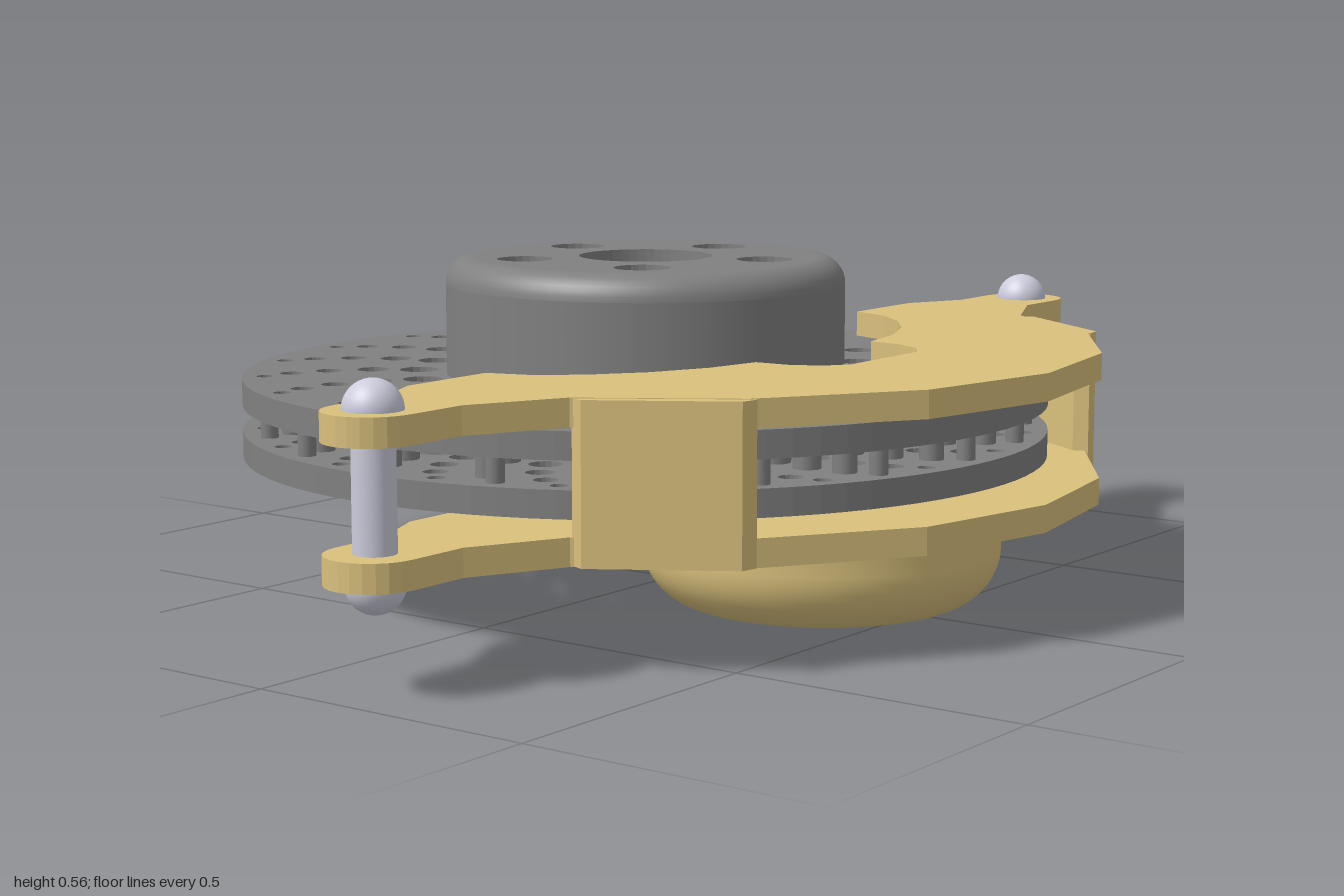
import * as THREE from 'three';

const steel = new THREE.MeshStandardMaterial({ color: 0x808080 });
const gold = new THREE.MeshStandardMaterial({ color: 0xd9c07c });
const pinMetal = new THREE.MeshStandardMaterial({ color: 0xccccdc });
const DISC_Z = -0.055;
const V = (x, y) => new THREE.Vector2(x, y);

function add(parent, name, geometry, material, x = 0, y = 0, z = 0) {
  const mesh = new THREE.Mesh(geometry, material);
  mesh.name = name;
  mesh.position.set(x, y, z);
  parent.add(mesh);
  return mesh;
}

// Points of a circle in plan (x, z)
function circle(cx, cz, r, n) {
  return Array.from({ length: n }, (_, i) => {
    const a = (i / n) * Math.PI * 2;
    return V(cx + r * Math.cos(a), cz + r * Math.sin(a));
  });
}

// Flat slab from a plan outline (x, z), spanning y0 to y1
function slab(points, y0, y1, holes = []) {
  const shape = new THREE.Shape(points);
  shape.holes = holes.map((h) => new THREE.Path(h));
  const g = new THREE.ExtrudeGeometry(shape, { depth: y1 - y0, bevelEnabled: false });
  return g.rotateX(Math.PI / 2).translate(0, y1, 0);
}

// Five spots along each of twenty curved arms: radius, sweep in degrees, size
const ARM = [[0.395, 0, 0.034], [0.475, 0, 0.028], [0.55, 2, 0.023], [0.612, 5, 0.02], [0.656, 8, 0.015]];
function armSpots(offset) {
  const spots = [];
  for (let i = 0; i < 20; i++) {
    for (const [r, sweep, size] of ARM) {
      const a = THREE.MathUtils.degToRad(i * 18 + offset - sweep);
      spots.push({ x: r * Math.sin(a), z: -r * Math.cos(a), size });
    }
  }
  return spots;
}

function buildRotor() {
  const rotor = new THREE.Group();
  rotor.name = 'rotor';
  rotor.position.z = DISC_Z;

  // Two drilled friction plates
  const drilled = armSpots(0).map((s) => circle(s.x, s.z, s.size, 18));
  drilled.push(circle(0, 0, 0.315, 72));
  const rim = circle(0, 0, 0.695, 96);
  add(rotor, 'lowerFrictionPlate', slab(rim, 0.225, 0.27, drilled), steel);
  add(rotor, 'upperFrictionPlate', slab(rim, 0.315, 0.36, drilled), steel);

  // Pillars in the ventilation gap
  const pillars = new THREE.Group();
  pillars.name = 'ventPillars';
  rotor.add(pillars);
  for (const s of armSpots(9)) {
    add(pillars, 'ventPillar', new THREE.CylinderGeometry(s.size, s.size, 0.045, 14, 1, true), steel, s.x, 0.2925, s.z);
  }

  // Hollow hat: rounded wall plus a top with centre bore and five bolt holes
  const wall = [V(0.345, 0.34), V(0.345, 0.515)];
  for (let i = 0; i <= 8; i++) {
    const a = (i / 8) * Math.PI / 2;
    wall.push(V(0.3 + 0.045 * Math.cos(a), 0.515 + 0.045 * Math.sin(a)));
  }
  add(rotor, 'hatWall', new THREE.LatheGeometry(wall, 72), steel);
  const inner = [V(0.3, 0.52), V(0.315, 0.505), V(0.315, 0.34)];
  add(rotor, 'hatInnerWall', new THREE.LatheGeometry(inner, 72), steel);
  const bores = [circle(0, 0, 0.115, 48)];
  for (let i = 0; i < 5; i++) {
    const a = (i / 5) * Math.PI * 2;
    bores.push(circle(0.215 * Math.cos(a), 0.215 * Math.sin(a), 0.048, 24));
  }
  add(rotor, 'hatTop', slab(circle(0, 0, 0.3, 72), 0.52, 0.56, bores), steel);
  return rotor;
}

// Half outline of a caliper plate, from the notch round the ear to the front tip
function caliperOutline() {
  const half = [V(0.1, 0.437), V(0.14, 0.41), V(0.165, 0.36), V(0.17, 0.3)];
  for (const p of [[0.27, 0.28], [0.37, 0.235], [0.45, 0.175], [0.505, 0.11], [0.53, 0.035], [0.71, 0.035], [0.82, 0.085]]) {
    half.push(V(...p));
  }
  for (let i = 0; i <= 12; i++) {
    const a = -Math.PI / 2 + (i / 12) * Math.PI;
    half.push(V(0.925 + 0.075 * Math.cos(a), 0.16 + 0.075 * Math.sin(a)));
  }
  for (const p of [[0.815, 0.235], [0.66, 0.31], [0.62, 0.37], [0.51, 0.53], [0.27, 0.69]]) half.push(V(...p));
  const mirrored = half.map((p) => V(-p.x, p.y)).reverse();
  return [...half, V(0, 0.742), ...mirrored];
}

function buildCaliper() {
  const caliper = new THREE.Group();
  caliper.name = 'caliper';
  const outline = caliperOutline();
  add(caliper, 'lowerCaliperPlate', slab(outline, 0.165, 0.21), gold);
  add(caliper, 'upperCaliperPlate', slab(outline, 0.375, 0.42), gold);

  // Piston housing with a rounded base
  const bowl = [V(0, 0), V(0.2, 0)];
  for (let i = 1; i <= 10; i++) {
    const a = (i / 10) * Math.PI / 2;
    bowl.push(V(0.2 + 0.1 * Math.sin(a), 0.1 - 0.1 * Math.cos(a)));
  }
  bowl.push(V(0.3, 0.15), V(0.304, 0.168), V(0, 0.168));
  const housing = new THREE.LatheGeometry(bowl.slice(0, -1), 64);
  add(caliper, 'pistonHousing', housing, gold, 0, 0, 0.315);
  const cap = new THREE.CircleGeometry(0.304, 64).rotateX(-Math.PI / 2);
  add(caliper, 'pistonHousingTop', cap, gold, 0, 0.168, 0.315);

  for (const side of [-1, 1]) {
    // Slanted bridge past the rotor rim
    const bridge = [[0.655, 0.31], [0.665, 0.335], [0.535, 0.535], [0.505, 0.54], [0.495, 0.515], [0.625, 0.315]];
    add(caliper, 'bridge', slab(bridge.map(([x, z]) => V(side * x, z)), 0.166, 0.419), gold);

    // Guide pin with domed heads
    const pin = new THREE.Group();
    pin.name = 'guidePin';
    pin.position.set(side * 0.922, 0, 0.16);
    caliper.add(pin);
    add(pin, 'pinShaft', new THREE.CylinderGeometry(0.033, 0.033, 0.255, 32), pinMetal, 0, 0.2925, 0);
    add(pin, 'upperPinHead', new THREE.SphereGeometry(0.046, 32, 20), pinMetal, 0, 0.42, 0);
    add(pin, 'lowerPinHead', new THREE.SphereGeometry(0.046, 32, 20), pinMetal, 0, 0.165, 0);
  }
  return caliper;
}

export function createModel() {
  const model = new THREE.Group();
  model.name = 'discBrake';
  model.add(buildRotor(), buildCaliper());
  return model;
}
